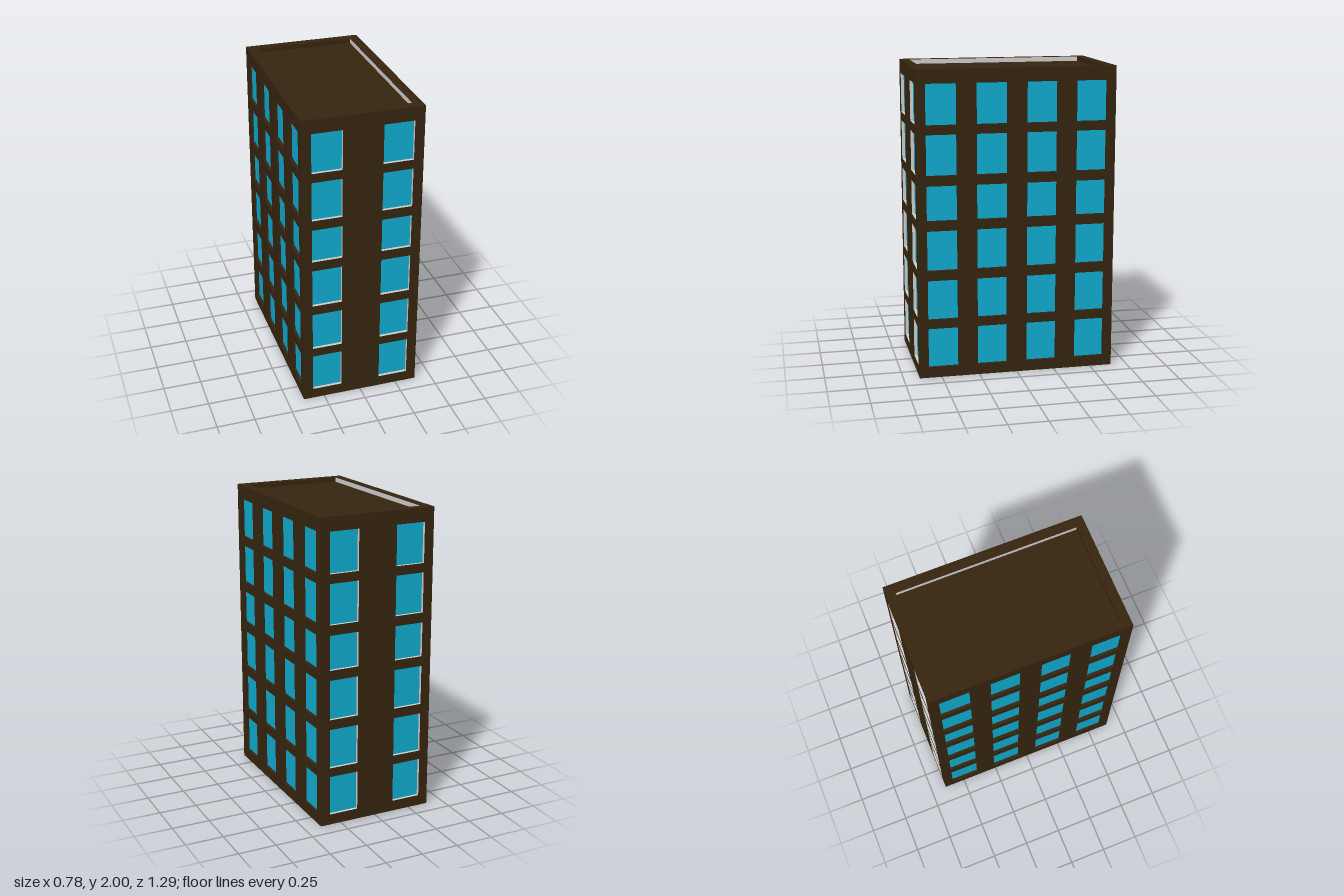
import * as THREE from 'three';

const W = 0.78, D = 1.29, H = 2;
const RECESS = 0.02, ROOF_DROP = 0.03;

const material = (color) => new THREE.MeshStandardMaterial({ color, side: THREE.DoubleSide });
const brown = material(0x35240f);
const cyan = material(0x0fa8cc);
const grey = material(0xcccccc);

// Window rows as [bottom, top]
const rows = [[0.07, 0.33], [0.39, 0.65], [0.715, 0.975], [1.04, 1.265], [1.33, 1.59], [1.65, 1.91]];
const frontColumns = [-0.228, 0.228];
const sideColumns = [-0.487, -0.163, 0.163, 0.487];
const WINDOW_W = 0.196;

function mesh(name, geometry, mat, x = 0, y = 0, z = 0) {
  const m = new THREE.Mesh(geometry, mat);
  m.name = name;
  m.position.set(x, y, z);
  return m;
}

function rectangle(Type, x0, y0, x1, y1) {
  const p = new Type();
  p.moveTo(x0, y0);
  p.lineTo(x1, y0);
  p.lineTo(x1, y1);
  p.lineTo(x0, y1);
  p.closePath();
  return p;
}

// Open four-sided tube around the z axis, used for the sides of a recess
function recessSides(w, h, depth) {
  const g = new THREE.CylinderGeometry(Math.SQRT1_2, Math.SQRT1_2, 1, 4, 1, true);
  g.rotateY(Math.PI / 4).rotateX(Math.PI / 2).scale(w, h, depth);
  const flat = g.toNonIndexed();
  flat.computeVertexNormals();
  return flat;
}

// Wall facing +z at the origin, with recessed windows
function createWall(name, width, columns, revealMaterial) {
  const wall = new THREE.Group();
  wall.name = name;
  const shape = rectangle(THREE.Shape, -width / 2, 0, width / 2, H);
  for (const [bottom, top] of rows) {
    const h = top - bottom, y = (top + bottom) / 2;
    for (const x of columns) {
      shape.holes.push(rectangle(THREE.Path, x - WINDOW_W / 2, bottom, x + WINDOW_W / 2, top));
      wall.add(mesh('windowReveal', recessSides(WINDOW_W, h, RECESS), revealMaterial, x, y, -RECESS / 2));
      wall.add(mesh('windowPane', new THREE.PlaneGeometry(WINDOW_W, h), cyan, x, y, -RECESS));
    }
  }
  wall.add(mesh('wallPanel', new THREE.ShapeGeometry(shape), brown));
  return wall;
}

export function createModel() {
  const building = new THREE.Group();
  building.name = 'building';

  // Four walls, open underneath
  for (const s of [1, -1]) {
    const end = createWall(s > 0 ? 'frontWall' : 'backWall', W, frontColumns, grey);
    end.position.z = s * D / 2;
    end.rotation.y = s > 0 ? 0 : Math.PI;
    const side = createWall(s > 0 ? 'leftWall' : 'rightWall', D, sideColumns, brown);
    side.position.x = s * W / 2;
    side.rotation.y = s * Math.PI / 2;
    building.add(end, side);
  }

  // Roof rim around a shallow sunken deck
  const roof = new THREE.Group();
  roof.name = 'roof';
  const inW = 0.65, inD = 1.17;
  const rim = rectangle(THREE.Shape, -W / 2, -D / 2, W / 2, D / 2);
  rim.holes.push(rectangle(THREE.Path, -inW / 2, -inD / 2, inW / 2, inD / 2));
  roof.add(mesh('roofRim', new THREE.ShapeGeometry(rim).rotateX(-Math.PI / 2), brown, 0, H));
  roof.add(mesh('roofDeck', new THREE.PlaneGeometry(inW, inD).rotateX(-Math.PI / 2), brown, 0, H - ROOF_DROP));
  for (const s of [1, -1]) {
    const long = new THREE.PlaneGeometry(inD, ROOF_DROP).rotateY(-s * Math.PI / 2);
    roof.add(mesh('roofLongEdge', long, grey, s * inW / 2, H - ROOF_DROP / 2));
    const short = new THREE.PlaneGeometry(inW, ROOF_DROP).rotateY(s > 0 ? Math.PI : 0);
    roof.add(mesh('roofShortEdge', short, brown, 0, H - ROOF_DROP / 2, s * inD / 2));
  }
  building.add(roof);
  return building;
}
